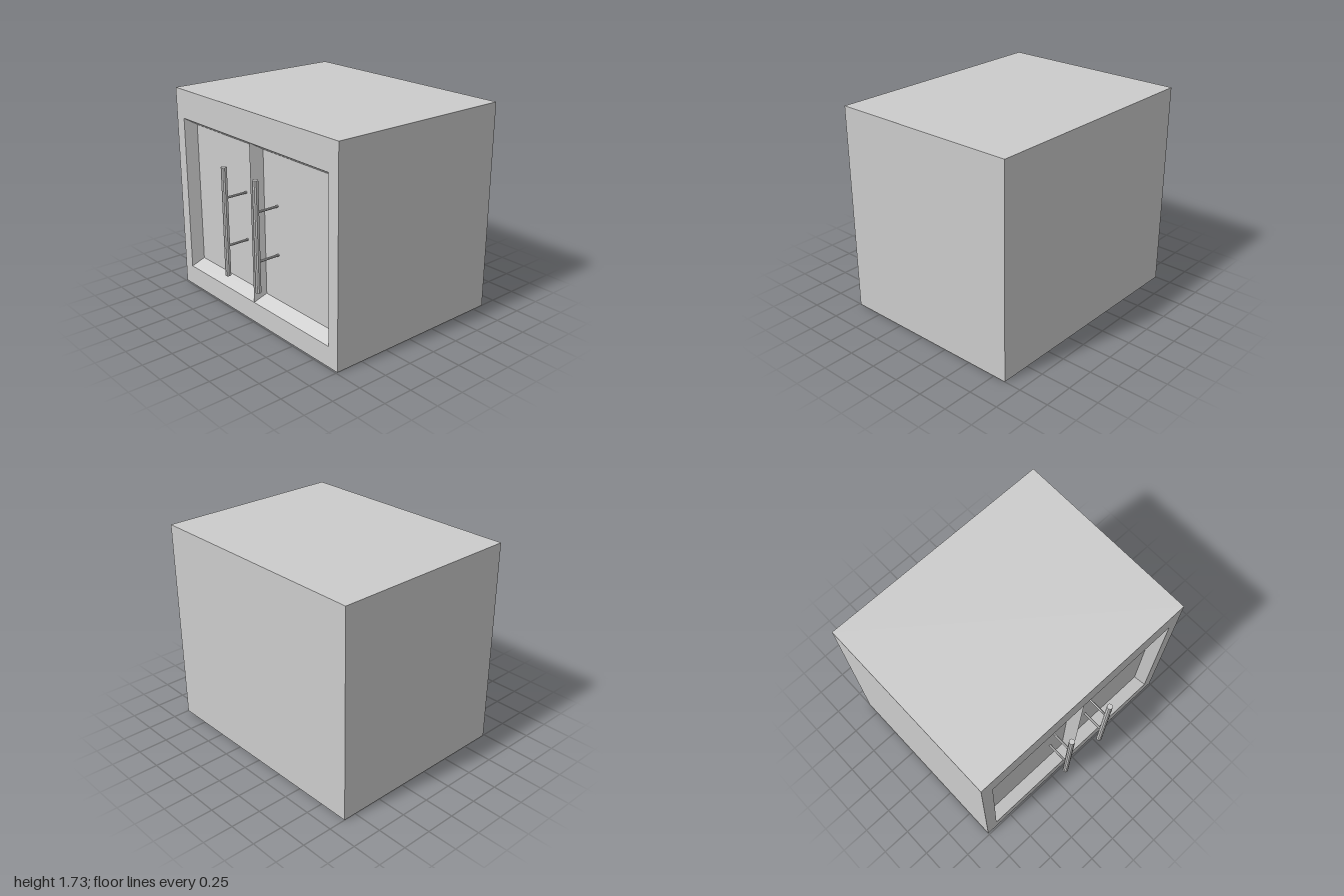
import * as THREE from 'three';

const material = new THREE.MeshStandardMaterial({ color: 0xcccccc, flatShading: true });

function part(name, geometry, parent) {
  const mesh = new THREE.Mesh(geometry, material);
  mesh.name = name;
  parent.add(mesh);
  return mesh;
}

const W = 1.594, H = 1.73, D = 2;           // carcass size
const FACE_X = -0.737;                      // plane of the door side
const OPEN = { z: 0.9, y0: 0.17, y1: 1.49 }; // door opening
const DEPTH = 0.1, INSET_Z = 0.035, INSET_Y = 0.062;

// Sunken door: four slanted rim faces around a flat panel
function doorGeometry(u0, u1) {
  const corners = (du, dv, w) => [
    [u0 + du, OPEN.y0 + dv, w], [u1 - du, OPEN.y0 + dv, w],
    [u1 - du, OPEN.y1 - dv, w], [u0 + du, OPEN.y1 - dv, w],
  ];
  const outer = corners(0, 0, 0);
  const inner = corners(INSET_Z, INSET_Y, -DEPTH);
  const points = [];
  const quad = (a, b, c, d) => points.push(...a, ...b, ...c, ...a, ...c, ...d);
  for (let i = 0; i < 4; i++) {
    const j = (i + 1) % 4;
    quad(outer[i], outer[j], inner[j], inner[i]);
  }
  quad(...inner);
  const geometry = new THREE.BufferGeometry();
  geometry.setAttribute('position', new THREE.Float32BufferAttribute(points, 3));
  geometry.computeVertexNormals();
  return geometry;
}

// Upright bar on two thin posts that reach back to the door panel
function handle(name, u, parent) {
  const group = new THREE.Group();
  group.name = name;
  group.position.set(u, 0, 0);
  const reach = 0.1;
  part('handleBar', new THREE.CylinderGeometry(0.023, 0.023, 0.905, 10), group)
    .position.set(0, 0.82, reach);
  for (const y of [0.62, 1.02]) {
    const post = new THREE.CylinderGeometry(0.01, 0.01, reach + DEPTH, 8).rotateX(Math.PI / 2);
    part('handlePost', post, group).position.set(0, y, (reach - DEPTH) / 2);
  }
  parent.add(group);
}

export function createModel() {
  const model = new THREE.Group();
  model.name = 'cabinet';

  // Carcass: a box with its door side left open
  const box = new THREE.BoxGeometry(W, H, D);
  const index = Array.from(box.index.array);
  index.splice(6, 6);
  box.setIndex(index);
  box.clearGroups();
  part('carcass', box, model).position.set(FACE_X + W / 2, H / 2, 0);

  // Door side, built facing +z and turned to face -x
  const side = new THREE.Group();
  side.name = 'doorSide';
  side.rotation.y = -Math.PI / 2;
  side.position.x = FACE_X;
  model.add(side);

  // Frame around the opening
  const rect = (Type, u, v0, v1) => new Type([
    new THREE.Vector2(-u, v0), new THREE.Vector2(u, v0),
    new THREE.Vector2(u, v1), new THREE.Vector2(-u, v1),
  ]);
  const frame = rect(THREE.Shape, D / 2, 0, H);
  frame.holes.push(rect(THREE.Path, OPEN.z, OPEN.y0, OPEN.y1));
  part('doorFrame', new THREE.ShapeGeometry(frame), side);

  // Pair of doors with handles near the middle
  part('backDoor', doorGeometry(-OPEN.z, 0), side);
  part('frontDoor', doorGeometry(0, OPEN.z), side);
  handle('backHandle', -0.2, side);
  handle('frontHandle', 0.2, side);

  return model;
}
